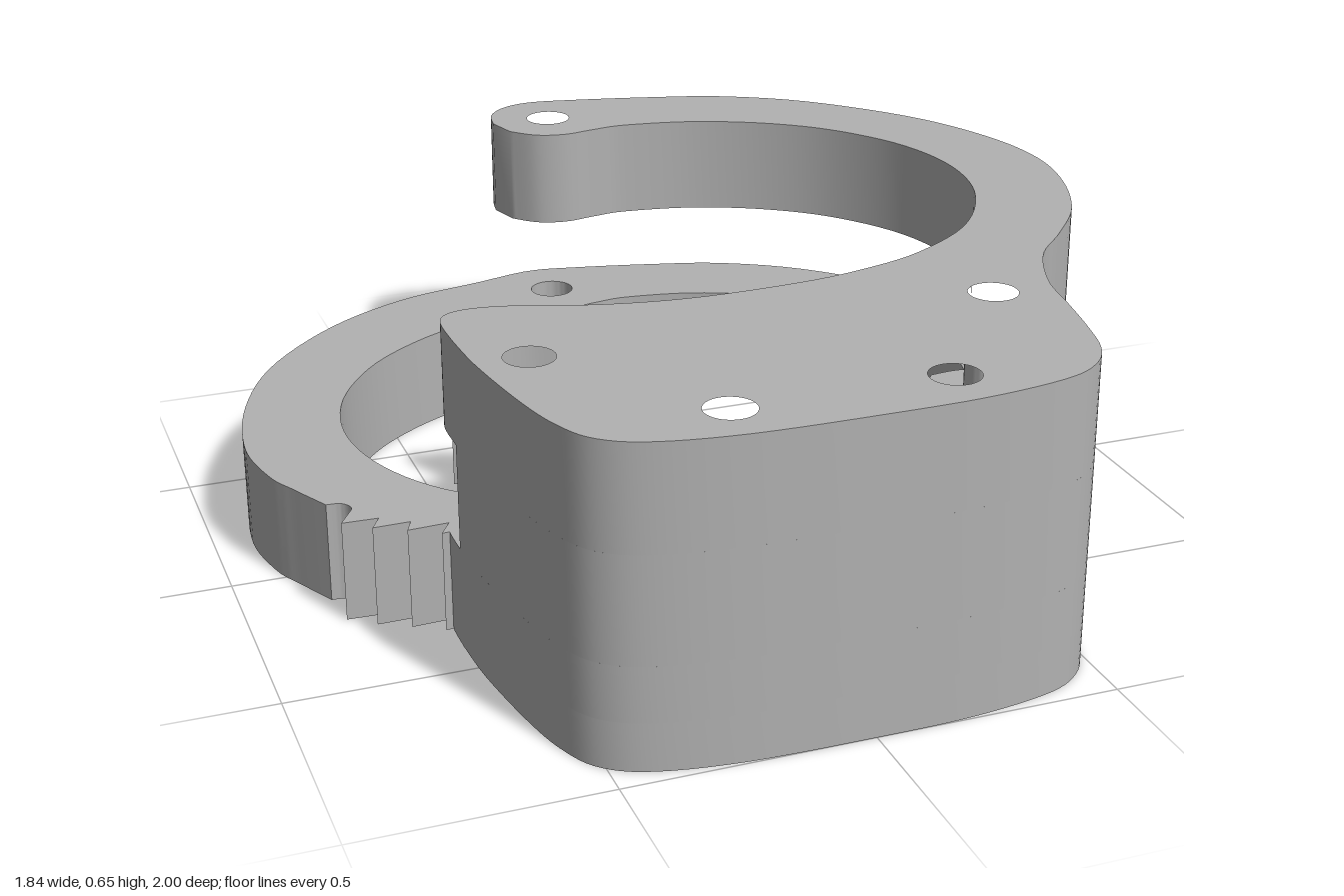
import * as THREE from 'three';
import { toCreasedNormals } from 'three/addons/utils/BufferGeometryUtils.js';

// All plan points are [x, z]; plates are extruded upwards along y.
const H1 = 0.215, H2 = 0.435, H3 = 0.65;
const v = ([x, z]) => new THREE.Vector2(x, -z);

// Build a closed shape from runs: { s: points } is a smooth curve, { l: points } straight lines.
function outline(runs) {
  const pts = [];
  for (const { s, l } of runs) {
    if (s) pts.push(...new THREE.SplineCurve(s.map(v)).getPoints(s.length * 5));
    else pts.push(...l.map(v));
  }
  return new THREE.Shape(pts.filter((p, i) => i === 0 || p.distanceTo(pts[i - 1]) > 1e-4));
}

function drill(shape, holes) {
  for (const [x, z, r] of holes) {
    const path = new THREE.Path();
    path.absarc(x, -z, r, 0, Math.PI * 2, true);
    shape.holes.push(path);
  }
  return shape;
}

function plate(name, shape, y0, y1, material) {
  let geo = new THREE.ExtrudeGeometry(shape, { depth: y1 - y0, bevelEnabled: false, curveSegments: 24 });
  geo.rotateX(-Math.PI / 2);
  geo.translate(0, y0, 0);
  const mesh = new THREE.Mesh(toCreasedNormals(geo, 0.5), material);
  mesh.name = name;
  return mesh;
}

const pivot = [-0.035, -0.863, 0.05];
const rivets = [[-0.508, 0.537, 0.05], [-0.248, 0.882, 0.05], [0.186, 0.882, 0.05], [0.437, 0.537, 0.05]];

// Outer wall of the lock housing, from the right shoulder round to the left side
const housingWall = [[0.567, 0.52], [0.545, 0.64], [0.522, 0.76], [0.495, 0.86], [0.45, 0.925], [0.37, 0.968],
  [0.2, 0.995], [0, 1], [-0.25, 0.995], [-0.42, 0.968], [-0.51, 0.92], [-0.555, 0.84], [-0.585, 0.72],
  [-0.612, 0.54], [-0.62, 0.41]];

// Housing cheek with its curved arm ending at the pivot
function cheekShape() {
  return outline([
    { s: [[-0.17, -0.863], [-0.155, -0.93], [-0.11, -0.98], [-0.04, -1], [0.06, -0.985], [0.25, -0.94],
      [0.42, -0.885], [0.6, -0.77], [0.78, -0.57], [0.88, -0.37], [0.915, -0.19], [0.89, -0.02],
      [0.82, 0.15], [0.72, 0.28], [0.63, 0.38], ...housingWall] },
    { s: [[-0.62, 0.41], [-0.618, 0.32], [-0.595, 0.28], [-0.54, 0.268], [-0.45, 0.285], [-0.3, 0.335],
      [-0.12, 0.363], [0.1, 0.358], [0.25, 0.333], [0.4, 0.28], [0.56, 0.165], [0.67, -0.01],
      [0.705, -0.19], [0.67, -0.37], [0.57, -0.53], [0.44, -0.64], [0.28, -0.715], [0.12, -0.745],
      [0.04, -0.738], [-0.035, -0.725], [-0.1, -0.742], [-0.15, -0.79]] },
  ]);
}

// Slot with one round end, in the lower cheek
function keyhole() {
  const path = new THREE.Path();
  path.absarc(-0.35, -0.64, 0.042, -Math.PI / 2 + 0.6, Math.PI * 1.5 - 0.6, false);
  path.lineTo(-0.374, -0.75);
  path.lineTo(-0.326, -0.75);
  return path;
}

export function createModel() {
  const group = new THREE.Group();
  const steel = new THREE.MeshStandardMaterial({ color: 0xb2b2b2 });
  steel.name = 'grey steel';

  // Upper and lower cheeks; the lower has a keyhole and a blind pin socket
  group.add(plate('upperCheek', drill(cheekShape(), [pivot, ...rivets]), H2, H3, steel));
  const base = drill(cheekShape(), [pivot, ...rivets]);
  base.holes.push(keyhole());
  group.add(plate('lowerCheekBase', base, 0, 0.1, steel));
  const top = drill(cheekShape(), [pivot, ...rivets, [0.24, 0.57, 0.045]]);
  top.holes.push(keyhole());
  group.add(plate('lowerCheekTop', top, 0.1, H1, steel));

  // Middle wall of the housing around the lock cavity
  const wall = outline([
    { s: housingWall },
    { l: [[-0.35, 0.41], [-0.35, 0.55], [-0.42, 0.58], [-0.42, 0.78], [0.36, 0.78], [0.36, 0.43]] },
    { s: [[0.37, 0.415], [0.43, 0.41], [0.5, 0.425], [0.545, 0.465], [0.567, 0.52]] },
  ]);
  group.add(plate('lockWall', drill(wall, rivets), H1, H2, steel));

  // Swinging bow with ratchet teeth, level with the lower cheek
  const bow = outline([
    { s: [[0.09, -0.863], [0.05, -0.95], [-0.04, -1], [-0.2, -0.965], [-0.4, -0.915], [-0.6, -0.8],
      [-0.78, -0.61], [-0.88, -0.4], [-0.92, -0.19], [-0.9, -0.04], [-0.865, 0.04], [-0.82, 0.13]] },
    { s: [[-0.82, 0.13], [-0.79, 0.135], [-0.775, 0.16], [-0.79, 0.19]] },
    { l: [[-0.81, 0.222], [-0.735, 0.225], [-0.757, 0.263], [-0.68, 0.262], [-0.695, 0.297],
      [-0.61, 0.293], [-0.635, 0.333], [-0.56, 0.33], [-0.45, 0.4], [0, 0.44], [0.38, 0.4]] },
    { s: [[0.4, 0.28], [0.2, 0.315], [0, 0.325], [-0.2, 0.313], [-0.4, 0.265], [-0.57, 0.15], [-0.67, -0.01],
      [-0.705, -0.19], [-0.67, -0.37], [-0.57, -0.53], [-0.44, -0.64], [-0.3, -0.71], [-0.15, -0.742],
      [-0.035, -0.725], [0.05, -0.755]] },
  ]);
  group.add(plate('bow', drill(bow, [pivot]), 0, H1, steel));

  // Loose V-shaped spring pawl
  const pawl = outline([{ l: [[-0.427, -0.337], [0.005, -0.205], [0.005, -0.15], [-0.462, -0.15],
    [-0.462, -0.171], [-0.075, -0.187], [-0.442, -0.31]] }]);
  group.add(plate('springPawl', pawl, 0, H1, steel));

  return group;
}
